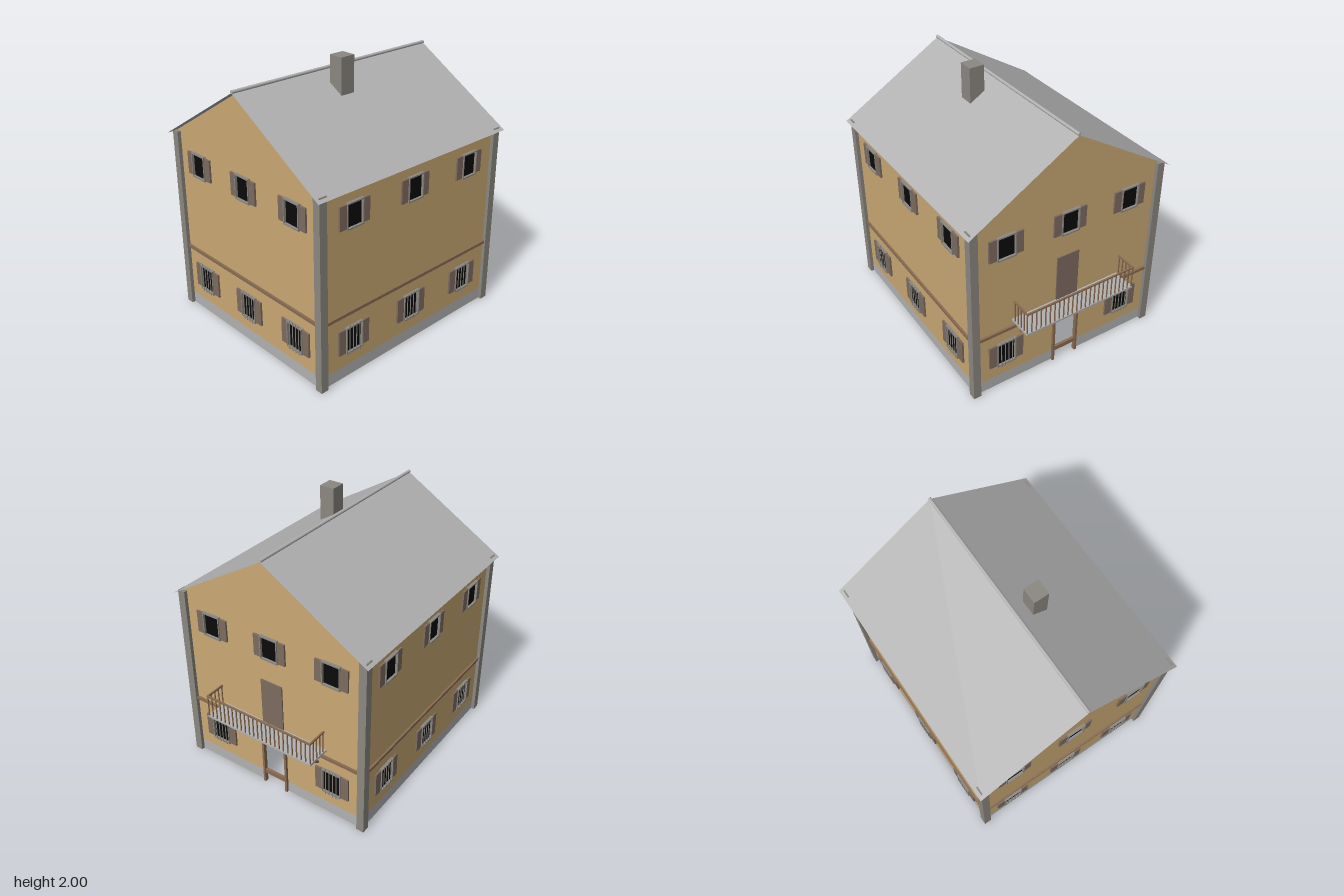
import * as THREE from 'three';

const mat = (name, color, side = THREE.FrontSide) => {
  const m = new THREE.MeshStandardMaterial({ color, side });
  m.name = name;
  return m;
};

export function createModel() {
  const plaster = mat('ochre plaster', 0xcaa974, THREE.DoubleSide);
  const slate = mat('light grey', 0xb2b2b2, THREE.DoubleSide);
  const stone = mat('warm grey stone', 0x8c8881);
  const wood = mat('grey brown wood', 0x7e6c60, THREE.DoubleSide);
  const timber = mat('brown timber', 0x8a6c52);
  const glass = mat('black opening', 0x0b0b0b);

  const house = new THREE.Group();
  house.name = 'house';

  const W = 0.75, FRONT = 0.895, BACK = -0.77, MID = (FRONT + BACK) / 2;
  const BASE = 0.09, RIDGE = 1.868, SLOPE = 0.605, DOOR = 0.09, DOOR_TOP = 0.47;
  const DEPTH = FRONT - BACK, EAVE = RIDGE - SLOPE * W;

  const add = (name, geo, material, parent = house, x = 0, y = 0, z = 0) => {
    const m = new THREE.Mesh(geo, material);
    m.name = name;
    m.position.set(x, y, z);
    parent.add(m);
    return m;
  };
  // Box given by its limits on each axis
  const box = (name, material, parent, x0, x1, y0, y1, z0, z1) =>
    add(name, new THREE.BoxGeometry(x1 - x0, y1 - y0, z1 - z0), material, parent,
      (x0 + x1) / 2, (y0 + y1) / 2, (z0 + z1) / 2);
  const flat = (pts) => new THREE.ShapeGeometry(new THREE.Shape(pts.map(p => new THREE.Vector2(...p))));
  const rect = (x0, x1, y0, y1) => flat([[x0, y0], [x1, y0], [x1, y1], [x0, y1]]);

  // Each side is a group whose local +z points out of the wall
  const side = (name, x, z, turn) => {
    const g = new THREE.Group();
    g.name = name;
    g.position.set(x, 0, z);
    g.rotation.y = turn;
    house.add(g);
    return g;
  };
  const front = side('frontSide', 0, FRONT, 0);
  const back = side('backSide', 0, BACK, Math.PI);
  const left = side('leftSide', W, MID, Math.PI / 2);
  const right = side('rightSide', -W, MID, -Math.PI / 2);

  // Walls and plinths; the back has an open doorway
  add('wall', flat([[-W, BASE], [W, BASE], [W, EAVE], [0, RIDGE], [-W, EAVE]]), plaster, front);
  add('plinth', rect(-W, W, 0, BASE), slate, front);
  add('wall', flat([[-W, BASE], [-DOOR, BASE], [-DOOR, DOOR_TOP], [DOOR, DOOR_TOP], [DOOR, BASE],
    [W, BASE], [W, EAVE], [0, RIDGE], [-W, EAVE]]), plaster, back);
  add('plinth', rect(-W, -DOOR, 0, BASE), slate, back);
  add('plinth', rect(DOOR, W, 0, BASE), slate, back);
  for (const g of [left, right]) {
    add('wall', rect(-DEPTH / 2, DEPTH / 2, BASE, EAVE), plaster, g);
    add('plinth', rect(-DEPTH / 2, DEPTH / 2, 0, BASE), slate, g);
  }

  // Belt course between the corner pillars
  for (const [g, h] of [[front, W], [back, W], [left, DEPTH / 2], [right, DEPTH / 2]]) {
    box('beltCourse', timber, g, -h, h, 0.485, 0.508, 0, 0.015);
  }

  // Upper floor slab, seen from below
  const slab = add('floorSlab', new THREE.PlaneGeometry(2 * W, DEPTH), wood, house, 0, 0.5, MID);
  slab.rotation.x = Math.PI / 2;

  // Corner pillars
  for (const s of [-1, 1]) {
    for (const [z0, z1] of [[0.862, 0.922], [-0.797, -0.737]]) {
      const xs = [s * 0.718, s * 0.776].sort((a, b) => a - b);
      box('cornerPillar', stone, house, xs[0], xs[1], 0, 1.408, z0, z1);
    }
  }

  // Windows: black opening, frame, shutters and, downstairs, a grille
  const makeWindow = (parent, x, y0, y1, hw, shutter, barred) => {
    const g = new THREE.Group();
    g.name = barred ? 'barredWindow' : 'window';
    g.position.x = x;
    parent.add(g);
    box('opening', glass, g, -hw, hw, y0, y1, 0, 0.004);
    box('sill', stone, g, -hw - 0.008, hw + 0.008, y0 - 0.008, y0 + 0.002, 0, 0.022);
    box('lintel', stone, g, -hw - 0.008, hw + 0.008, y1 - 0.002, y1 + 0.008, 0, 0.022);
    for (const s of [-1, 1]) {
      const jamb = [s * hw, s * (hw + 0.008)].sort((a, b) => a - b);
      const leaf = [s * (hw + 0.002), s * shutter].sort((a, b) => a - b);
      box('jamb', stone, g, jamb[0], jamb[1], y0, y1, 0, 0.022);
      box('shutter', wood, g, leaf[0], leaf[1], y0, y1, 0, 0.014);
    }
    if (!barred) return;
    const bar = new THREE.CylinderGeometry(0.0035, 0.0035, y1 - y0 + 0.04, 6);
    for (let i = 0; i < 4; i++) {
      add('grilleBar', bar, stone, g, -0.045 + i * 0.03, (y0 + y1) / 2, 0.02);
    }
  };
  for (const [g, step] of [[front, 0.5], [back, 0.5], [left, 0.555], [right, 0.555]]) {
    for (const i of [-1, 0, 1]) {
      makeWindow(g, i * step, 1.12, 1.288, 0.064, 0.13, false);
      if (g !== back || i !== 0) makeWindow(g, i * step, 0.2, 0.386, 0.068, 0.137, true);
    }
  }

  // Ground floor door frame and balcony door
  for (const s of [-1, 1]) {
    const xs = [s * DOOR, s * (DOOR + 0.018)].sort((a, b) => a - b);
    box('doorPost', timber, back, xs[0], xs[1], 0, DOOR_TOP, -0.01, 0.018);
  }
  box('doorHead', timber, back, -DOOR - 0.018, DOOR + 0.018, DOOR_TOP, 0.486, -0.01, 0.018);
  box('doorRail', timber, back, -DOOR, DOOR, 0.08, 0.115, -0.01, 0.01);
  box('balconyDoor', wood, back, -0.09, 0.09, 0.565, 0.93, 0, 0.009);

  // Balcony: deck, railing and diagonal brackets
  const balcony = new THREE.Group();
  balcony.name = 'balcony';
  back.add(balcony);
  const OUT = 0.174, HALF = 0.444;
  box('deck', slate, balcony, -0.45, 0.45, 0.547, 0.563, 0, 0.18);
  box('frontRail', timber, balcony, -0.45, 0.45, 0.724, 0.736, OUT - 0.006, 0.18);
  const baluster = new THREE.BoxGeometry(0.007, 0.164, 0.007);
  for (let i = 0; i <= 24; i++) {
    add('baluster', baluster, timber, balcony, -HALF + i * HALF / 12, 0.644, OUT);
  }
  for (const s of [-1, 1]) {
    box('sideRail', timber, balcony, s * HALF - 0.006, s * HALF + 0.006, 0.724, 0.736, 0.02, OUT - 0.006);
    for (let i = 0; i < 4; i++) add('baluster', baluster, timber, balcony, s * HALF, 0.644, 0.03 + i * 0.036);
  }
  for (const x of [-0.38, 0, 0.38]) {
    const b = add('bracket', new THREE.BoxGeometry(0.016, 0.016, 0.21), timber, balcony, x, 0.488, 0.085);
    b.rotation.x = -Math.atan2(0.115, 0.15);
  }

  // Thin pitched roof with a ridge tile
  const R0 = -0.823, R1 = 0.95, OVER = 0.8, TOP = RIDGE + 0.003;
  for (const s of [-1, 1]) {
    const geo = new THREE.BufferGeometry();
    const y = TOP - SLOPE * OVER;
    geo.setAttribute('position', new THREE.Float32BufferAttribute(
      [0, TOP, R0, 0, TOP, R1, s * OVER, y, R1, s * OVER, y, R0], 3));
    geo.setIndex(s > 0 ? [0, 1, 2, 0, 2, 3] : [0, 2, 1, 0, 3, 2]);
    geo.computeVertexNormals();
    add('roofSlope', geo, slate);
  }
  const ridge = add('ridgeTile', new THREE.CylinderGeometry(0.012, 0.012, R1 - R0, 12), slate, house,
    0, 1.877, (R0 + R1) / 2);
  ridge.rotation.x = Math.PI / 2;

  // Chimney
  box('chimney', stone, house, 0.105, 0.218, 1.735, 2, 0.105, 0.22);

  return house;
}
